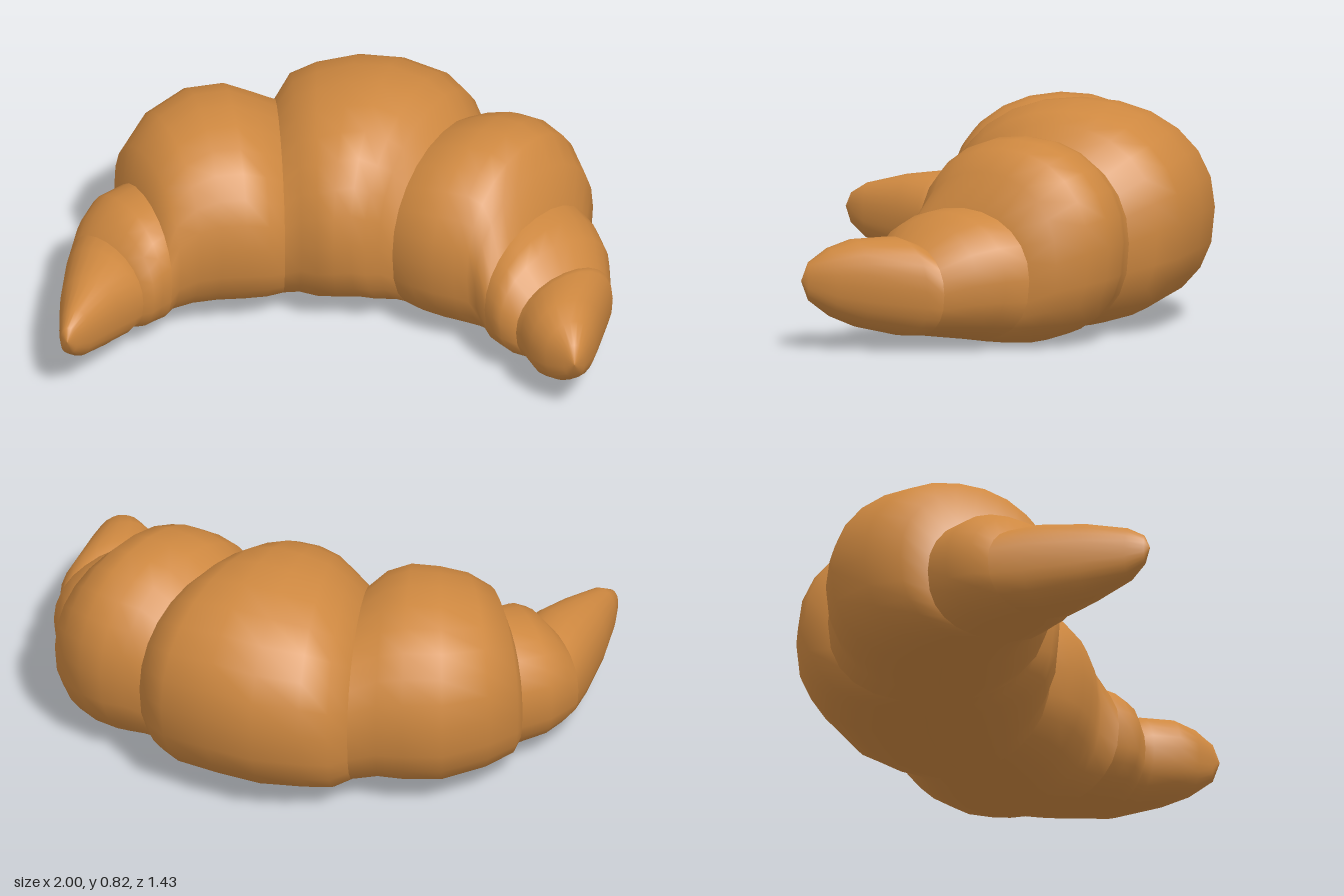
import * as THREE from 'three';

const SIDES = 24;

// Each station: [outer x, outer z, inner x, inner z, top y, bottom y].
// Neighbouring lobes share the pinched ring between them.
const CREASE = [
  [-0.985, 0.12, -0.70, 0.40, 0.40, 0.07],
  [-0.84, -0.12, -0.60, 0.33, 0.51, 0.04],
  [-0.30, -0.56, -0.20, 0.19, 0.665, 0.025],
  [0.51, -0.45, 0.19, 0.19, 0.68, 0.015],
  [0.88, -0.12, 0.54, 0.39, 0.50, 0.02],
  [0.985, 0.18, 0.66, 0.47, 0.39, 0.05],
];

const LOBES = {
  rightTip: [
    [-0.955, 0.71, -0.955, 0.71, 0.26, 0.26],
    [-0.98, 0.69, -0.92, 0.69, 0.31, 0.20],
    [-0.99, 0.62, -0.87, 0.64, 0.35, 0.15],
    [-1.00, 0.45, -0.78, 0.51, 0.39, 0.10],
    [-0.995, 0.24, -0.72, 0.43, 0.41, 0.07],
    CREASE[0],
  ],
  rightFold: [
    CREASE[0],
    [-0.97, 0.05, -0.66, 0.40, 0.46, 0.06],
    [-0.93, -0.04, -0.63, 0.37, 0.50, 0.05],
    CREASE[1],
  ],
  rightLobe: [
    CREASE[1],
    [-0.85, -0.22, -0.57, 0.31, 0.63, 0.04],
    [-0.78, -0.36, -0.50, 0.29, 0.71, 0.035],
    [-0.64, -0.50, -0.42, 0.28, 0.75, 0.03],
    [-0.50, -0.54, -0.33, 0.27, 0.755, 0.03],
    [-0.40, -0.535, -0.25, 0.24, 0.72, 0.03],
    CREASE[2],
  ],
  middleLobe: [
    CREASE[2],
    [-0.25, -0.65, -0.14, 0.20, 0.74, 0.02],
    [-0.15, -0.69, -0.08, 0.24, 0.78, 0.02],
    [0.02, -0.72, -0.02, 0.25, 0.81, 0.02],
    [0.20, -0.69, 0.04, 0.24, 0.82, 0.02],
    [0.38, -0.63, 0.09, 0.23, 0.79, 0.015],
    [0.46, -0.55, 0.14, 0.20, 0.75, 0.015],
    CREASE[3],
  ],
  leftLobe: [
    CREASE[3],
    [0.58, -0.44, 0.26, 0.25, 0.72, 0.01],
    [0.66, -0.44, 0.34, 0.29, 0.735, 0.005],
    [0.75, -0.40, 0.42, 0.31, 0.735, 0],
    [0.83, -0.33, 0.47, 0.32, 0.71, 0],
    [0.89, -0.22, 0.50, 0.33, 0.63, 0.01],
    CREASE[4],
  ],
  leftFold: [
    CREASE[4],
    [0.93, -0.04, 0.57, 0.43, 0.49, 0.03],
    [0.97, 0.06, 0.60, 0.46, 0.46, 0.04],
    CREASE[5],
  ],
  leftTip: [
    CREASE[5],
    [0.995, 0.24, 0.68, 0.50, 0.41, 0.05],
    [0.97, 0.45, 0.72, 0.59, 0.40, 0.08],
    [0.955, 0.57, 0.78, 0.65, 0.37, 0.12],
    [0.925, 0.68, 0.85, 0.69, 0.32, 0.18],
    [0.89, 0.71, 0.89, 0.71, 0.25, 0.25],
  ],
};

// Softly squared circle; the underside is squared more so it sits flat.
const soften = (v, power) => Math.sign(v) * Math.abs(v) ** power;

function loftLobe(stations) {
  const positions = [];
  const indices = [];
  stations.forEach(([ox, oz, ix, iz, top, bottom], s) => {
    for (let k = 0; k < SIDES; k++) {
      const a = (k / SIDES) * Math.PI * 2;
      const power = Math.sin(a) < 0 ? 0.82 : 0.94;
      const c = soften(Math.cos(a), power);
      const h = soften(Math.sin(a), power);
      positions.push(
        (ox + ix) / 2 + ((ix - ox) / 2) * c,
        (top + bottom) / 2 + ((top - bottom) / 2) * h,
        (oz + iz) / 2 + ((iz - oz) / 2) * c,
      );
      if (s === 0) continue;
      const next = (k + 1) % SIDES;
      const p = (s - 1) * SIDES;
      const q = s * SIDES;
      indices.push(p + k, q + k, p + next, q + k, q + next, p + next);
    }
  });
  const geometry = new THREE.BufferGeometry();
  geometry.setAttribute('position', new THREE.Float32BufferAttribute(positions, 3));
  geometry.setIndex(indices);
  geometry.computeVertexNormals();
  return geometry;
}

export function createModel() {
  const group = new THREE.Group();
  group.name = 'croissant';
  const crust = new THREE.MeshStandardMaterial({ color: 0xce8840 });
  crust.name = 'golden crust';

  // Rolled dough lobes, tip to tip
  for (const [name, stations] of Object.entries(LOBES)) {
    const mesh = new THREE.Mesh(loftLobe(stations), crust);
    mesh.name = name;
    group.add(mesh);
  }
  return group;
}
